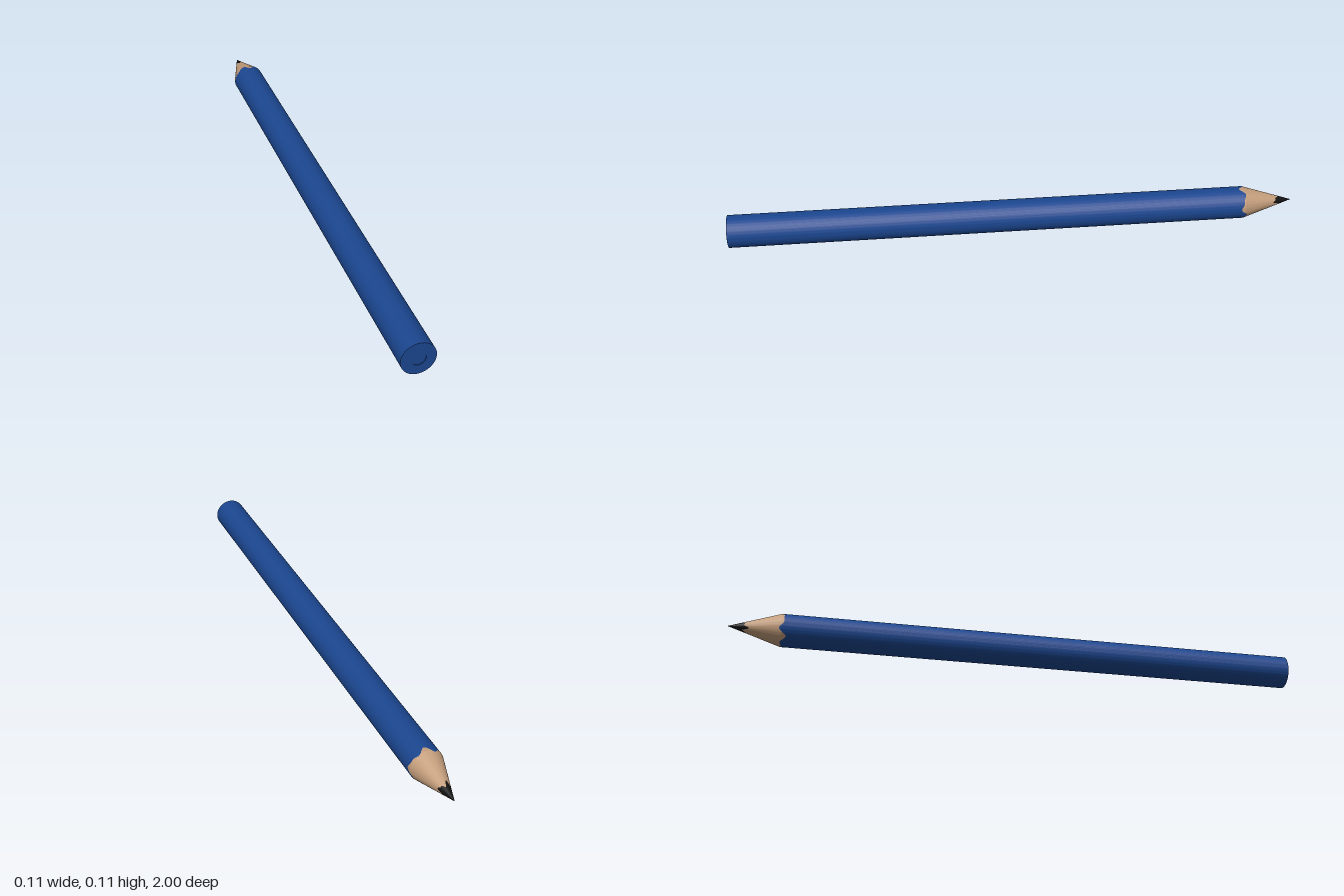
import * as THREE from 'three';
import { toCreasedNormals } from 'three/addons/utils/BufferGeometryUtils.js';

const R = 0.057, CORE = 0.024, FRONT = 1, SHOULDER = -0.82, TIP = -1, SEG = 64;

// Outer radius along the pencil: straight barrel, then sharpened cone
const radiusAt = (z) => R * Math.min(1, (z - TIP) / (SHOULDER - TIP));

// Ragged boundaries left by sharpening
const paintEdge = (a) => -0.816 + 0.008 * Math.sin(5 * a + 0.6) + 0.005 * Math.sin(8 * a + 2);
const leadEdge = (a) => -0.94 + 0.007 * Math.sin(4 * a) + 0.005 * Math.sin(7 * a + 1);

// Skin wrapped round the axis; each row is [z(angle), r(angle, z)], from front to tip
function skin(rows) {
  const pos = [], idx = [], n = SEG + 1;
  for (const row of rows) {
    for (let j = 0; j <= SEG; j++) {
      const a = ((j % SEG) / SEG) * Math.PI * 2;
      const z = row.z(a), r = row.r ?? radiusAt(z);
      pos.push(r * Math.cos(a), r * Math.sin(a), z);
    }
  }
  for (let i = 0; i < rows.length - 1; i++) {
    for (let j = 0; j < SEG; j++) {
      const a = i * n + j, b = a + n;
      idx.push(a, b, a + 1, b, b + 1, a + 1);
    }
  }
  const g = new THREE.BufferGeometry();
  g.setAttribute('position', new THREE.Float32BufferAttribute(pos, 3));
  g.setIndex(idx);
  return toCreasedNormals(g, 0.2);
}

export function createModel() {
  const group = new THREE.Group();
  group.name = 'pencil';
  const paint = new THREE.MeshStandardMaterial({ color: 0x1b468f });
  const wood = new THREE.MeshStandardMaterial({ color: 0xc49e7c });
  const lead = new THREE.MeshStandardMaterial({ color: 0x111111 });

  const add = (name, rows, material) => {
    const mesh = new THREE.Mesh(skin(rows), material);
    mesh.name = name;
    mesh.position.y = R;
    group.add(mesh);
  };
  const at = (z, r) => ({ z: () => z, r });

  // Painted barrel with its flat end, closed up to the ragged paint line
  add('paintedBarrel', [
    at(FRONT, CORE), at(FRONT, R),
    { z: (a) => Math.max(paintEdge(a), SHOULDER) },
    { z: paintEdge },
  ], paint);

  // Core showing at the flat end, very slightly sunk
  add('coreEnd', [at(FRONT - 0.002, 0), at(FRONT - 0.002, CORE)], paint);
  add('coreRim', [at(FRONT - 0.002, CORE), at(FRONT, CORE)], paint);

  // Bare wood between the paint line and the lead
  add('sharpenedWood', [
    { z: paintEdge },
    { z: (a) => Math.min(paintEdge(a), SHOULDER) },
    { z: leadEdge },
  ], wood);

  // Pointed lead
  add('leadTip', [{ z: leadEdge }, at(TIP)], lead);
  return group;
}
